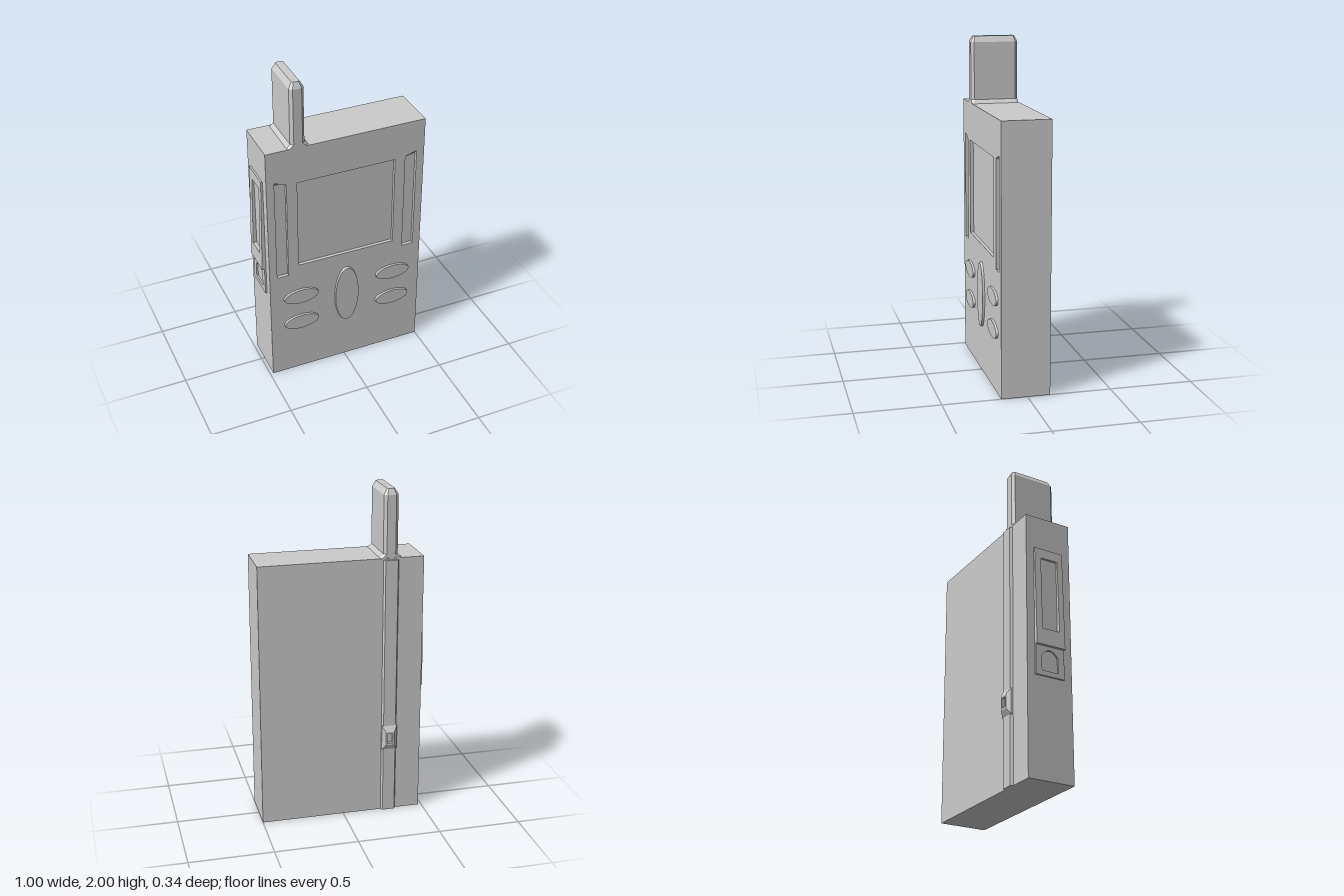
import * as THREE from 'three';

const grey = new THREE.MeshStandardMaterial({ color: 0xcccccc });
const flat = new THREE.MeshStandardMaterial({ color: 0xcccccc, flatShading: true });

function add(parent, name, geometry, material = flat) {
  const mesh = new THREE.Mesh(geometry, material);
  mesh.name = name;
  parent.add(mesh);
  return mesh;
}

// Rectangle with cut corners at height z, counter-clockwise seen from +z
function ring(hx, hy, c, z) {
  const points = c > 0
    ? [[hx, c - hy], [hx, hy - c], [hx - c, hy], [c - hx, hy],
      [-hx, hy - c], [-hx, c - hy], [c - hx, -hy], [hx - c, -hy]]
    : [[hx, -hy], [hx, hy], [-hx, hy], [-hx, -hy]];
  return points.map(([x, y]) => [x, y, z]);
}

// Skin over a stack of rings along +z, closed at both ends
function loft(rings) {
  const n = rings[0].length;
  const last = (rings.length - 1) * n;
  const index = [];
  for (let r = 0; r < rings.length - 1; r++) {
    for (let i = 0; i < n; i++) {
      const a = r * n + i, b = r * n + (i + 1) % n;
      index.push(a, b, b + n, a, b + n, a + n);
    }
  }
  for (let i = 1; i < n - 1; i++) {
    index.push(0, i + 1, i, last, last + i, last + i + 1);
  }
  const g = new THREE.BufferGeometry();
  g.setAttribute('position', new THREE.Float32BufferAttribute(rings.flat(2), 3));
  g.setIndex(index);
  const out = g.toNonIndexed();
  out.computeVertexNormals();
  return out;
}

const polygon = (points, Type = THREE.Shape) =>
  new Type(points.map(([x, y]) => new THREE.Vector2(x, y)));
const rect = (x0, y0, x1, y1, Type) =>
  polygon([[x0, y0], [x1, y0], [x1, y1], [x0, y1]], Type);
const extrude = (shape, depth) =>
  new THREE.ExtrudeGeometry(shape, { depth, bevelEnabled: false, curveSegments: 8 });

function createCase() {
  const body = new THREE.Group();
  body.name = 'case';
  add(body, 'caseBack', new THREE.BoxGeometry(0.98, 1.6, 0.27)).position.set(0.01, 0.8, 0);

  // Front plate with openings for the screen and the two side grooves
  const face = rect(-0.48, 0, 0.5, 1.6);
  face.holes.push(rect(-0.295, 0.79, 0.315, 1.37, THREE.Path));
  for (const s of [-1, 1]) {
    const inner = 0.01 + s * 0.37, outer = 0.01 + s * 0.442;
    face.holes.push(polygon(
      [[inner, 0.735], [outer, 0.735], [outer, 1.4], [inner, 1.375]], THREE.Path));
  }
  const plate = extrude(face, 0.02);
  const p = plate.attributes.position;
  // Groove tops slope down towards the floor
  for (let i = 0; i < p.count; i++) {
    if (p.getZ(i) < 0.01 && p.getY(i) > 1.38 && p.getY(i) < 1.5) p.setY(i, 1.375);
  }
  plate.computeVertexNormals();
  add(body, 'frontPlate', plate).position.z = 0.135;
  return body;
}

function createButtons() {
  const buttons = new THREE.Group();
  buttons.name = 'buttons';
  const oval = (name, x, y, rx, ry) => {
    const g = new THREE.CylinderGeometry(0.97, 1, 0.015, 40).rotateX(Math.PI / 2).scale(rx, ry, 1);
    add(buttons, name, g, grey).position.set(x, y, 0.1605);
  };
  for (const x of [-0.285, 0.318]) {
    for (const y of [0.56, 0.365]) oval('ovalButton', x, y, 0.112, 0.05);
  }
  oval('centreButton', 0.013, 0.482, 0.078, 0.203);
  return buttons;
}

function createSidePanel() {
  const panel = new THREE.Group();
  panel.name = 'sidePanel';

  // Tapered upper cover with a long slot
  const upper = rect(-0.085, 0.78, 0.1, 1.39);
  upper.holes.push(rect(-0.045, 0.88, 0.065, 1.33, THREE.Path));
  const cover = extrude(upper, 1);
  const p = cover.attributes.position;
  for (let i = 0; i < p.count; i++) {
    const thickness = 0.025 - 0.014 * (p.getY(i) - 0.78) / 0.61;
    p.setZ(i, p.getZ(i) * thickness);
  }
  cover.computeVertexNormals();
  add(panel, 'slottedCover', cover.rotateY(-Math.PI / 2));

  // Thin lower plate with an arched recess
  const lower = rect(-0.085, 0.6, 0.1, 0.78);
  const arch = new THREE.Path();
  arch.moveTo(-0.045, 0.63);
  arch.lineTo(0.06, 0.63);
  arch.lineTo(0.06, 0.72);
  arch.quadraticCurveTo(0.0075, 0.795, -0.045, 0.72);
  arch.closePath();
  lower.holes.push(arch);
  add(panel, 'archedPlate', extrude(lower, 0.01).rotateY(-Math.PI / 2));

  panel.position.x = -0.48;
  return panel;
}

function createAntenna() {
  const antenna = new THREE.Group();
  antenna.name = 'antenna';
  antenna.position.x = -0.283;

  // Flat blade with a flared foot and a bevelled tip
  const blade = loft([
    ring(0.067, 0.143, 0.012, 1.598),
    ring(0.043, 0.143, 0.017, 1.622),
    ring(0.043, 0.143, 0.017, 1.965),
    ring(0.023, 0.125, 0.008, 2),
  ]).rotateX(-Math.PI / 2);
  add(antenna, 'antennaBlade', blade).position.z = 0.012;

  // Raised rail down the back
  const rail = extrude(polygon(
    [[-0.049, 0.13], [0.049, 0.13], [0.037, 0.15], [-0.037, 0.15]]), 1.59);
  add(antenna, 'backRail', rail.rotateX(-Math.PI / 2));

  // Catch on the rail with a small recess
  const catchGeometry = loft([
    ring(0.048, 0.078, 0, 0.14),
    ring(0.047, 0.076, 0, 0.15),
    ring(0.026, 0.042, 0, 0.17),
    ring(0.016, 0.03, 0, 0.17),
    ring(0.014, 0.028, 0, 0.156),
  ]).rotateY(Math.PI);
  add(antenna, 'railCatch', catchGeometry).position.y = 0.485;
  return antenna;
}

export function createModel() {
  const model = new THREE.Group();
  model.name = 'handset';
  model.add(createCase(), createButtons(), createSidePanel(), createAntenna());
  return model;
}
